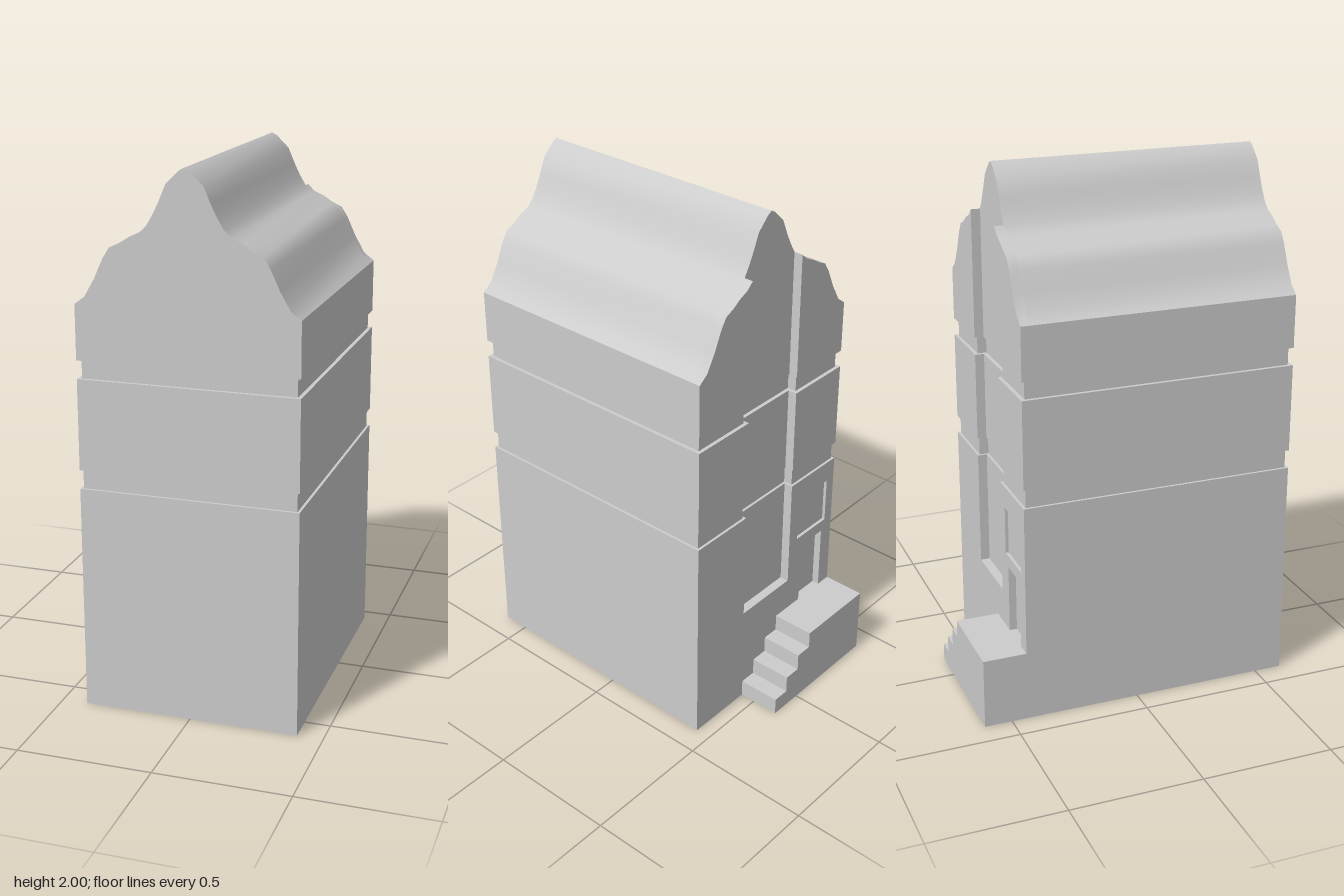
import * as THREE from 'three';
import { toCreasedNormals } from 'three/addons/utils/BufferGeometryUtils.js';

const W = 0.404;              // half width of the house
const FRONT = 0.605;          // front wall
const BACK = -0.44;           // rear wall
const NICHE_Z = -0.405;       // back of the tall rear niche
const NICHE_W = 0.136;        // half width of the niche

// Right half of the wavy gable, from ridge to eave
const GABLE = [
  [0, 2], [0.018, 1.99], [0.066, 1.943], [0.09, 1.887], [0.112, 1.842], [0.136, 1.802], [0.162, 1.777],
  [0.2, 1.76], [0.235, 1.737], [0.272, 1.72], [0.296, 1.682], [0.328, 1.612],
  [0.366, 1.546], [W, 1.517],
];

const material = new THREE.MeshStandardMaterial({ color: 0xcccccc });

const mirror = (points) => points.map(([x, y]) => [-x, y]).reverse();
const rect = (x0, x1, y0, y1) => [[x0, y0], [x1, y0], [x1, y1], [x0, y1]];

// Extrude an outline in x/y from z0 to z1, with optional holes
function slab(name, outline, z0, z1, holes = []) {
  const shape = new THREE.Shape(outline.map((p) => new THREE.Vector2(...p)));
  for (const hole of holes) {
    shape.holes.push(new THREE.Path(hole.map((p) => new THREE.Vector2(...p))));
  }
  const geometry = new THREE.ExtrudeGeometry(shape, { depth: z1 - z0, bevelEnabled: false });
  geometry.translate(0, 0, z0);
  const mesh = new THREE.Mesh(toCreasedNormals(geometry, 0.7), material);
  mesh.name = name;
  return mesh;
}

// A storey with straight walls: core plus two rear strips beside the niche
function storey(name, y0, y1, inset = 0) {
  const group = new THREE.Group();
  group.name = name;
  const w = W - inset;
  const strip = rect(NICHE_W + inset, w, y0, y1);
  const z0 = BACK + inset, z1 = NICHE_Z + inset;
  group.add(
    slab(name + 'Core', rect(-w, w, y0, y1), z1, FRONT - inset),
    slab(name + 'RearLeft', strip, z0, z1),
    slab(name + 'RearRight', mirror(strip), z0, z1),
  );
  return group;
}

export function createModel() {
  const model = new THREE.Group();
  model.name = 'gabledHouse';

  // Ground storey: the rear facade is notched for the niche and pierced by door and window
  const top = 0.845, sill = 0.405;
  const facade = [
    [-W, 0], [W, 0], [W, top], [NICHE_W, top], [NICHE_W, sill],
    [-NICHE_W, sill], [-NICHE_W, top], [-W, top],
  ];
  const windowHole = rect(-0.362, -0.183, 0.578, 0.76);
  const doorHole = rect(-0.343, -0.212, 0.27, 0.532);
  model.add(
    slab('groundStorey', rect(-W, W, 0, top), NICHE_Z, FRONT),
    slab('rearFacade', facade, BACK, NICHE_Z, [windowHole, doorHole]),
    slab('windowPane', windowHole, NICHE_Z, BACK + 0.012).translateZ(0),
    slab('doorPanel', doorHole, BACK + 0.028, NICHE_Z),
  );
  model.remove(model.getObjectByName('windowPane'));
  model.add(slab('windowPane', windowHole, BACK + 0.012, NICHE_Z));

  // Recessed bands and the middle storey
  model.add(
    storey('lowerBand', 0.845, 0.915, 0.01),
    storey('middleStorey', 0.915, 1.25),
    storey('upperBand', 1.25, 1.317, 0.014),
  );

  // Upper storey and wavy gable roof
  const right = [...GABLE].reverse();
  const gable = [[-W, 1.317], [W, 1.317], ...right, ...mirror(right).slice(1)];
  const wing = [
    [NICHE_W, 1.317], [W, 1.317],
    ...right.filter(([x]) => x >= NICHE_W),
  ];
  model.add(
    slab('gableRoof', gable, NICHE_Z, FRONT),
    slab('gableRearLeft', wing, BACK, NICHE_Z),
    slab('gableRearRight', mirror(wing), BACK, NICHE_Z),
  );

  // Porch platform with steps leading down sideways
  const porch = [[-W, 0]];
  const edges = [0.133, 0.066, -0.002, -0.07];
  const rise = 0.27 / edges.length;
  edges.forEach((x, i) => porch.push([x, i * rise], [x, (i + 1) * rise]));
  porch.push([-W, 0.27]);
  model.add(slab('porchSteps', porch, -0.605, BACK));

  return model;
}
